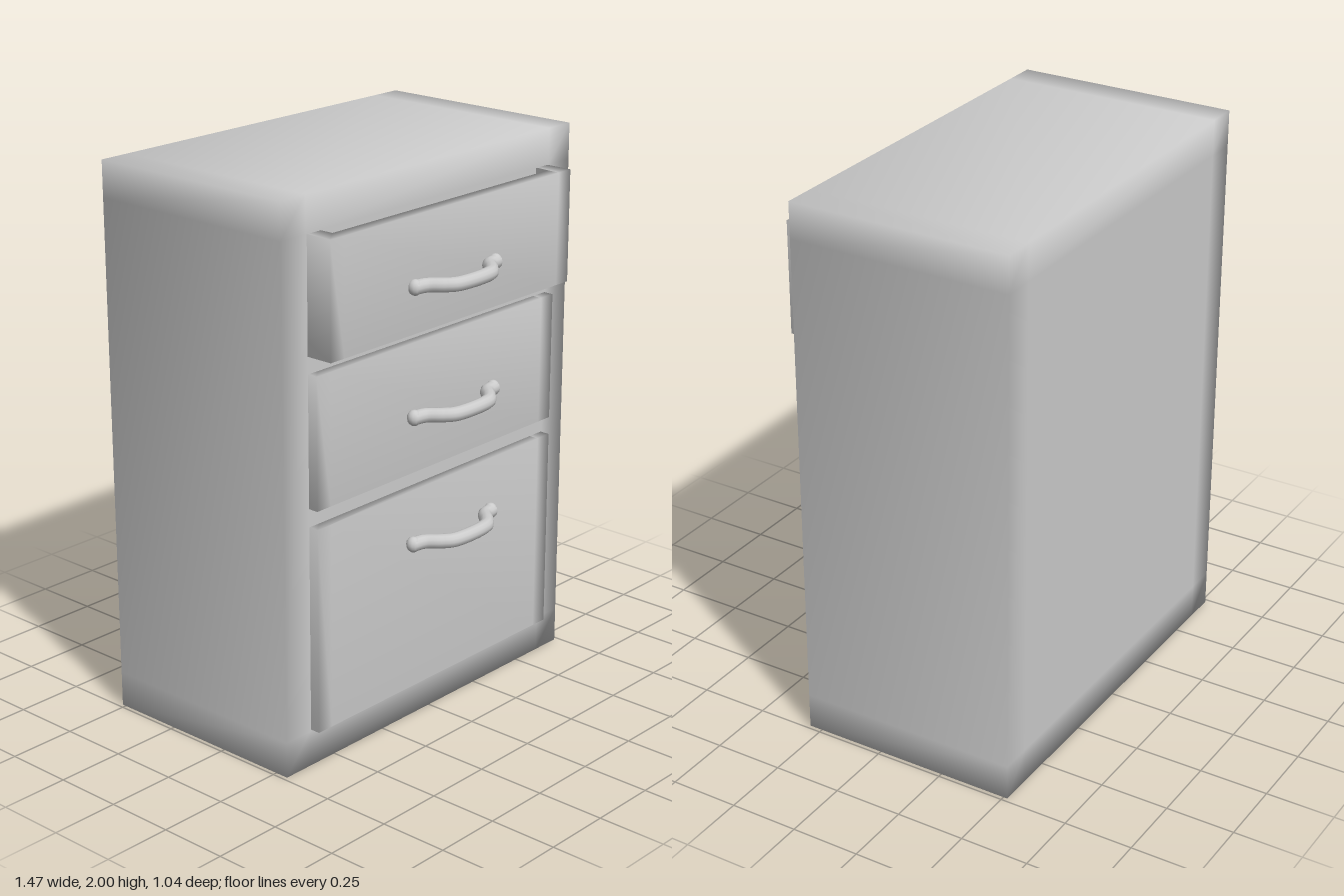
import * as THREE from 'three';
import { mergeVertices } from 'three/addons/utils/BufferGeometryUtils.js';

const material = new THREE.MeshStandardMaterial({ color: 0xcccccc });

// Welds shared corners so that shading runs smoothly over the edges
function smooth(geometry) {
  geometry.deleteAttribute('uv');
  geometry.deleteAttribute('normal');
  const welded = mergeVertices(geometry, 1e-4);
  welded.computeVertexNormals();
  return welded;
}

function mesh(name, geometry) {
  const m = new THREE.Mesh(geometry, material);
  m.name = name;
  return m;
}

// Box whose middle edge loops are moved outwards to leave a narrow border
function borderedBox(w, h, d, borderX, borderY) {
  const g = new THREE.BoxGeometry(w, h, d, 3, borderY ? 3 : 1, 1);
  const p = g.attributes.position;
  for (let i = 0; i < p.count; i++) {
    const x = p.getX(i), y = p.getY(i);
    if (Math.abs(x) < w / 2 - 1e-4) p.setX(i, Math.sign(x) * (w / 2 - borderX));
    if (borderY && Math.abs(y) < h / 2 - 1e-4) p.setY(i, Math.sign(y) * (h / 2 - borderY));
  }
  return smooth(g);
}

// Open-topped drawer: a rectangular ring of walls, extruded upwards
function drawerWalls(h, front, back) {
  const outline = (pts) => pts.map(([x, z]) => new THREE.Vector2(x, -z));
  const shape = new THREE.Shape(outline([
    [-0.615, front], [-0.55, front], [0.55, front], [0.615, front], [0.615, back], [-0.615, back],
  ]));
  shape.holes.push(new THREE.Path(outline([
    [-0.55, front - 0.05], [-0.55, back + 0.05], [0.55, back + 0.05], [0.55, front - 0.05],
  ])));
  const g = new THREE.ExtrudeGeometry(shape, { depth: h, bevelEnabled: false });
  return smooth(g.rotateX(-Math.PI / 2));
}

// Bent bar pull with rounded ends
function createHandle() {
  const handle = new THREE.Group();
  handle.name = 'handle';
  const half = [[0.212, 0.41], [0.165, 0.42], [0.125, 0.46], [0.085, 0.487]];
  const points = [
    ...half.map(([x, z]) => new THREE.Vector3(-x, 0, z)),
    ...half.slice().reverse().map(([x, z]) => new THREE.Vector3(x, 0, z)),
  ];
  const path = new THREE.CatmullRomCurve3(points);
  handle.add(mesh('handleBar', new THREE.TubeGeometry(path, 40, 0.025, 12)));
  for (const s of [-1, 1]) {
    const end = mesh('handleEnd', new THREE.SphereGeometry(0.025, 12, 8));
    end.position.set(s * 0.207, 0, 0.41);
    end.scale.y = 1.12;
    handle.add(end);
  }
  handle.position.x = -0.012;
  return handle;
}

export function createModel() {
  const model = new THREE.Group();
  model.name = 'drawerCabinet';

  // Cabinet body
  const body = mesh('cabinetBody', borderedBox(1.47, 2, 0.815, 0.115, 0.13));
  body.position.set(0, 1, -0.1075);
  model.add(body);

  // Drawers: the top one is pulled out a little
  const drawers = [
    { name: 'topDrawer', low: 1.465, high: 1.87, front: 0.4, handleY: 1.63 },
    { name: 'middleDrawer', low: 0.94, high: 1.405, front: 0.337, handleY: 1.178 },
    { name: 'bottomDrawer', low: 0.135, high: 0.875, front: 0.337, handleY: 0.722 },
  ];
  for (const { name, low, high, front, handleY } of drawers) {
    const drawer = new THREE.Group();
    drawer.name = name;
    const walls = mesh('drawerWalls', drawerWalls(high - low, front, -0.4));
    walls.position.y = low;
    const floor = mesh('drawerFloor', new THREE.BoxGeometry(1.12, 0.04, front + 0.34));
    floor.position.set(0, low + 0.03, (front - 0.4) / 2);
    const handle = createHandle();
    handle.position.y = handleY;
    drawer.add(walls, floor, handle);
    model.add(drawer);
  }
  return model;
}
